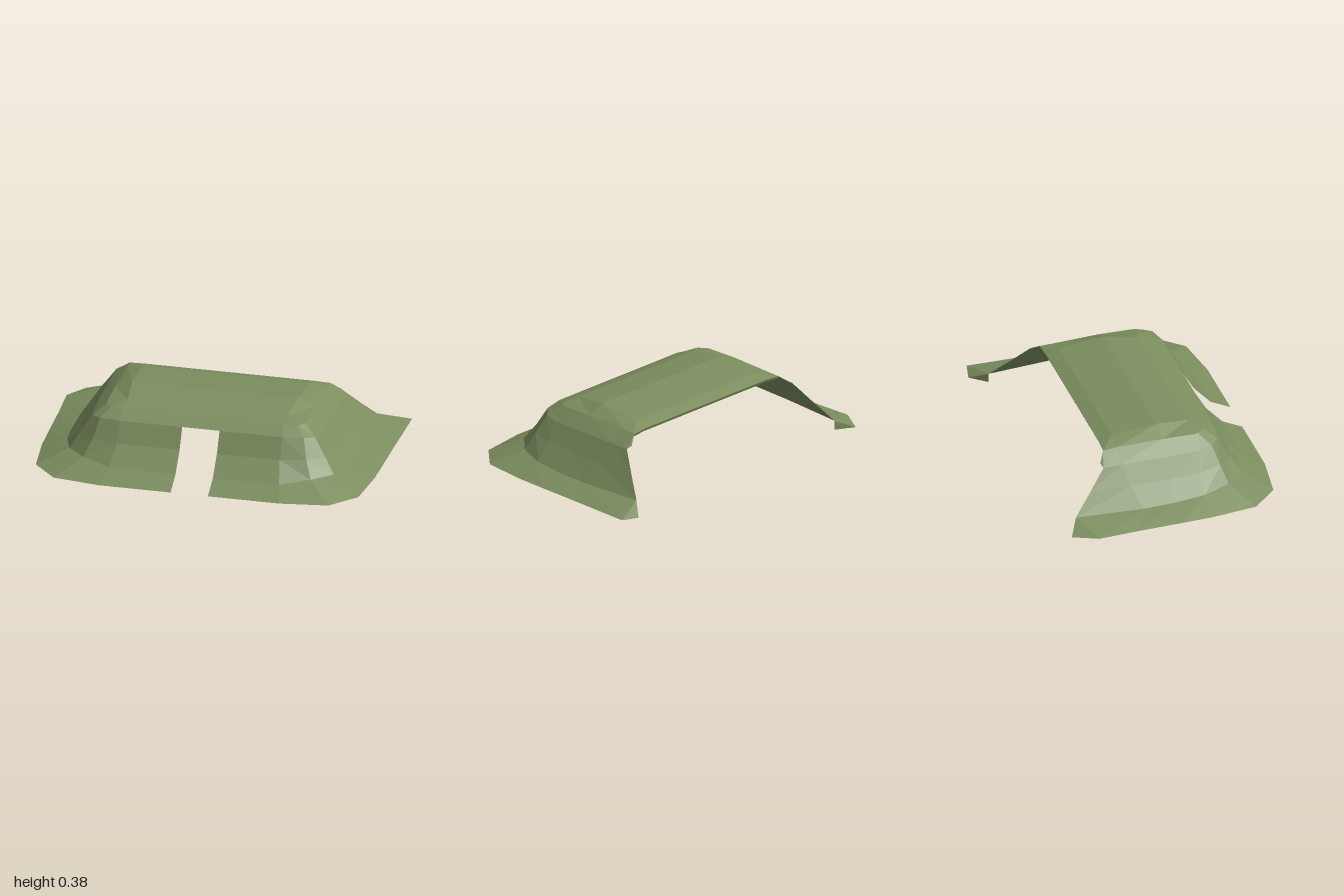
import * as THREE from 'three';

// Cross-section rings of the +x half, from ground to roof edge.
// Each runs from the open back, along the side, round the corner to the front.
const groundRing = [[1, .01, -.64], [.99, .01, -.25], [.985, .01, .02], [.98, .01, .2], [.95, .01, .47], [.81, .01, .62], [.53, .01, .66]];
const skirtRing = [[.81, .055, -.57], [.84, .055, -.17], [.84, .06, .02], [.83, .07, .2], [.78, .085, .36], [.67, .09, .47], [.5, .07, .54]];
const wallRing = [[.74, .165, -.46], [.75, .165, -.22], [.75, .165, .02], [.745, .17, .2], [.72, .18, .33], [.63, .18, .41], [.48, .18, .44]];
const shoulderRing = [[.675, .27, -.36], [.675, .27, -.25], [.675, .27, .02], [.67, .27, .22], [.655, .28, .3], [.6, .29, .35], [.48, .295, .375]];
const eaveRing = [[.59, .33, -.335], [.585, .335, -.25], [.59, .34, .02], [.59, .335, .22], [.585, .335, .24], [.55, .335, .28], [.47, .335, .295]];
const roofCorner = [.47, .36, .22];
const roofRing = [[.49, .335, -.33], [.49, .36, -.25], [.49, .385, .02], roofCorner, roofCorner, roofCorner, roofCorner];
const rings = [groundRing, skirtRing, wallRing, shoulderRing, eaveRing, roofRing];
const doorX = .11;

// Collects quads and triangles; mirrored parts flip x and the corner order
function surface(faces, mirror = false) {
  const pos = [];
  const tri = (a, b, c) => {
    for (const p of mirror ? [a, c, b] : [a, b, c]) pos.push(mirror ? -p[0] : p[0], p[1], p[2]);
  };
  for (const [a, b, c, d] of faces) {
    tri(a, b, c);
    if (d && d !== c) tri(a, c, d);
  }
  const g = new THREE.BufferGeometry();
  g.setAttribute('position', new THREE.Float32BufferAttribute(pos, 3));
  g.computeVertexNormals();
  return g;
}

// Quads between consecutive rings
function loft(rows) {
  const faces = [];
  for (let i = 0; i + 1 < rows.length; i++) {
    for (let j = 0; j + 1 < rows[i].length; j++) {
      const [a, b, c, d] = [rows[i][j], rows[i + 1][j], rows[i + 1][j + 1], rows[i][j + 1]];
      faces.push(b === c ? [a, b, d] : [a, b, c, d]);
    }
  }
  return faces;
}

const atX = (p, x) => [x, p[1], p[2]];
const flip = p => atX(p, -p[0]);

export function createModel() {
  const group = new THREE.Group();
  const canvas = new THREE.MeshStandardMaterial({ color: 0x7c8e5f, side: THREE.DoubleSide, flatShading: true });
  canvas.name = 'olive canvas';
  const add = (name, faces, mirror) => {
    const mesh = new THREE.Mesh(surface(faces, mirror), canvas);
    mesh.name = name;
    group.add(mesh);
  };

  for (const mirror of [false, true]) {
    const side = mirror ? 'right' : 'left';

    // Curved side and front corner; the two ground tips are cut differently
    const tip = mirror ? [.92, 0, -.63] : [.89, 0, -.665];
    const heel = mirror ? [1, .01, -.49] : groundRing[0];
    const ground = [heel, ...groundRing.slice(1)];
    add(side + 'Side', loft([ground, ...rings.slice(1)]), mirror);

    // Pointed foot folded under at the open back
    const ankle = skirtRing[0];
    const sole = [.81, 0, -.57];
    add(side + 'Foot', [[heel, tip, ankle], [ankle, tip, sole], [tip, heel, sole]], mirror);

    // Front wall beside the doorway
    const wall = rings.slice(0, 4).map(r => [r[6], atX(r[6], doorX)]);
    add(side + 'FrontWall', loft(wall), mirror);

    // Small turned-out ear at the back shoulder
    add(side + 'Ear', [[shoulderRing[0], [.645, .285, -.37], eaveRing[0]]], mirror);
  }

  // Panel above the doorway, up to the roof
  const lintel = [shoulderRing, eaveRing, roofRing].map(r =>
    [r[6], atX(r[6], doorX), atX(r[6], -doorX), flip(r[6])]);
  add('frontEave', loft(lintel));

  // Gently ridged roof
  add('roof', loft(roofRing.slice(0, 4).reverse().map(p => [p, flip(p)])));

  // Hem turned down along the back edge of the roof
  const edge = [eaveRing[0], roofRing[0], flip(roofRing[0]), flip(eaveRing[0])];
  add('backHem', loft([edge, edge.map(p => [p[0], p[1] - .018, p[2] + .008])]));

  return group;
}
